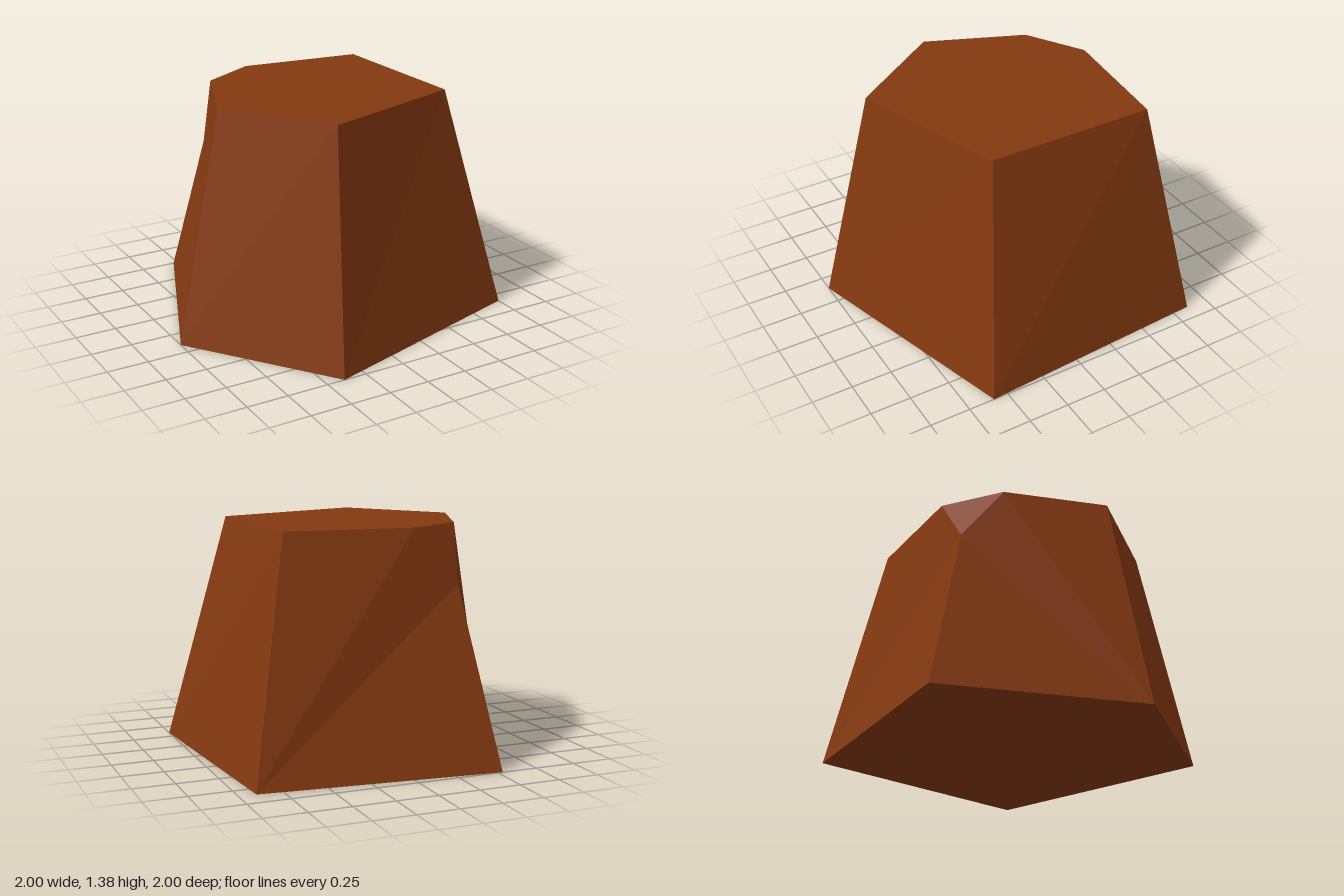
import * as THREE from 'three';

const H = 1.385; // height of the flat top
const at = (y) => ([x, z]) => [x, y, z];

export function createModel() {
  const group = new THREE.Group();
  group.name = 'taperedBlock';
  const brown = new THREE.MeshStandardMaterial({ color: 0x843910 });
  brown.name = 'brown';

  // Five base corners and matching top corners, counterclockwise from above
  const base = [[-0.39, 1], [1, 0.59], [0.9, -0.86], [-0.53, -1], [-1, 0.15]].map(at(0));
  const top = [[-0.27, 0.71], [0.66, 0.4], [0.65, -0.62], [-0.37, -0.717], [-0.7, 0.11]].map(at(H));
  // The back corner is sunk, leaving a chamfer between two cut points
  const sunk = [-0.37, 1.055, -0.717];
  const cutBack = at(H)([-0.11, -0.693]);
  const cutSide = at(H)([-0.46, -0.483]);

  // Each face is a list of corners, filled as a fan from its first corner
  const addPart = (name, ...faces) => {
    const points = faces.flatMap((f) =>
      f.slice(2).flatMap((p, i) => [...f[0], ...f[i + 1], ...p]));
    const geometry = new THREE.BufferGeometry();
    geometry.setAttribute('position', new THREE.Float32BufferAttribute(points, 3));
    geometry.computeVertexNormals();
    const mesh = new THREE.Mesh(geometry, brown);
    mesh.name = name;
    group.add(mesh);
  };

  // Plain sloping sides
  const plain = [0, 1, 4].map((i) => {
    const j = (i + 1) % 5;
    return [base[i], base[j], top[j], top[i]];
  });
  addPart('plainSides', ...plain);

  // The two sides that meet at the sunk corner, and its chamfer
  addPart('backSide', [base[2], base[3], sunk, cutBack, top[2]]);
  addPart('cornerSide', [base[4], top[4], cutSide, sunk, base[3]]);
  addPart('chamfer', [sunk, cutSide, cutBack]);

  // Caps
  addPart('topFace', [top[0], top[1], top[2], cutBack, cutSide, top[4]]);
  addPart('bottomFace', [...base].reverse());
  return group;
}
